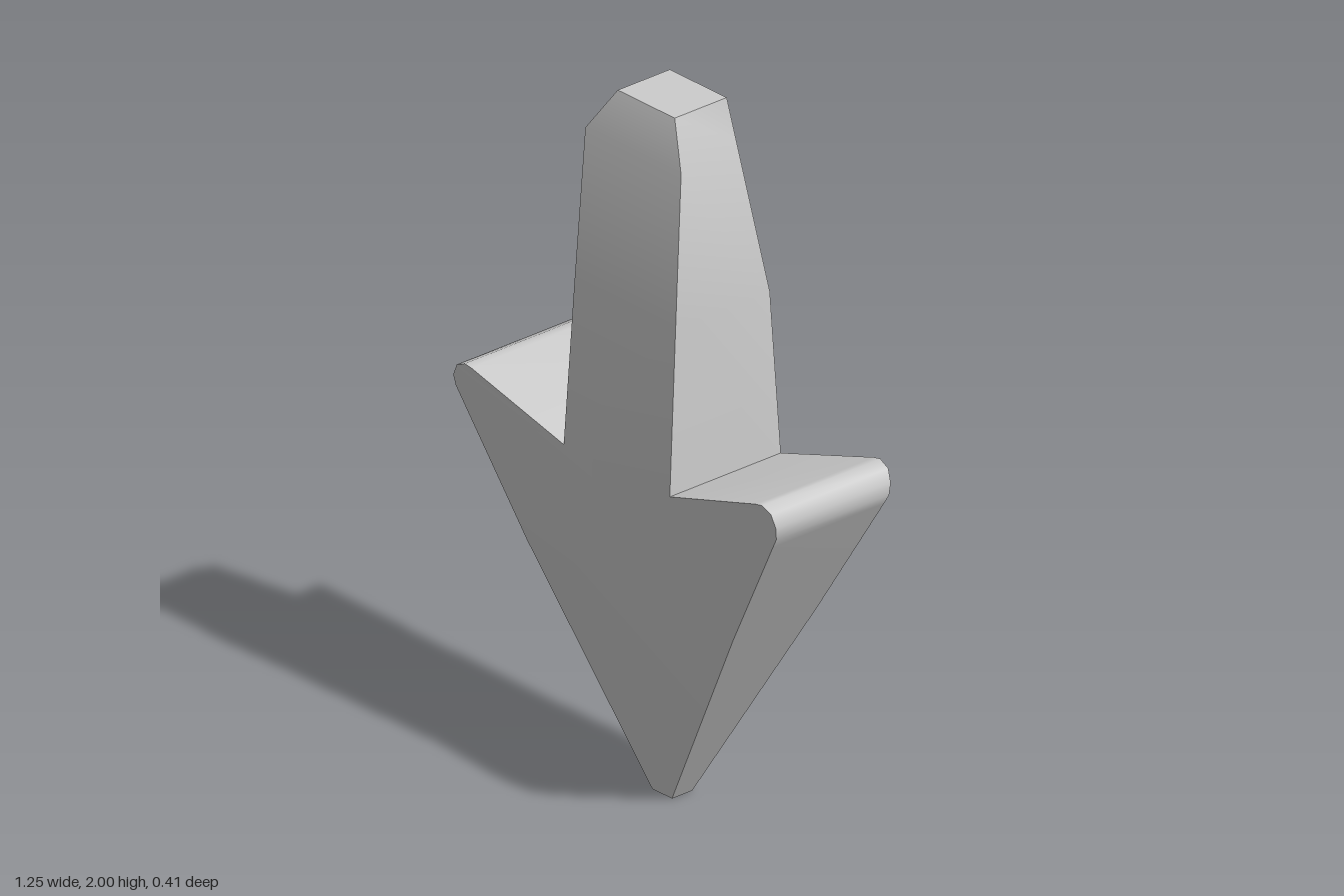
import * as THREE from 'three';
import { toCreasedNormals } from 'three/addons/utils/BufferGeometryUtils.js';

// Outline, counter-clockwise from the point of the arrow: x, y, half thickness
const outline = [
  [0.038, 0, 0.035], [0.396, 0.62, 0.145], [0.603, 0.98, 0.192],
  // left barb with rounded tip
  [0.62, 1.01, 0.195], [0.622, 1.045, 0.199], [0.608, 1.08, 0.203], [0.575, 1.095, 0.205], [0.55, 1.09, 0.205],
  // shaft
  [0.205, 0.98, 0.192], [0.195, 1.45, 0.163], [0.185, 1.88, 0.135], [0.11, 2, 0.09],
  [-0.11, 2, 0.09], [-0.185, 1.88, 0.135], [-0.195, 1.45, 0.163], [-0.205, 0.98, 0.192],
  // right barb with rounded tip
  [-0.55, 1.077, 0.203], [-0.575, 1.08, 0.203], [-0.608, 1.065, 0.201], [-0.624, 1.03, 0.199], [-0.62, 1.0, 0.194],
  [-0.608, 0.98, 0.192], [-0.4, 0.62, 0.145], [-0.038, 0, 0.035],
];

// Polygons of the broad faces, each fanned from its first corner
const panels = [
  [0, 1, 22, 23], [1, 2, 8, 15, 21, 22],          // head
  [8, 2, 3, 4, 5, 6, 7], [15, 16, 17, 18, 19, 20, 21], // barbs
  [15, 8, 9, 14], [14, 9, 13], [13, 9, 10, 11, 12],    // shaft
];

function arrowGeometry() {
  const n = outline.length;
  const front = outline.map(([x, y, z]) => new THREE.Vector3(x, y, z));
  const back = outline.map(([x, y, z]) => new THREE.Vector3(x, y, -z));
  // the rear left shoulder is cut straight from mid shaft to the top
  back[10].lerpVectors(back[9], back[11], 0.78);

  const index = [];
  for (const p of panels) {
    for (let i = 1; i < p.length - 1; i++) {
      index.push(p[0], p[i], p[i + 1]);
      index.push(p[0] + n, p[i + 1] + n, p[i] + n);
    }
  }
  // side walls joining both broad faces
  for (let a = 0; a < n; a++) {
    const b = (a + 1) % n;
    index.push(a, a + n, b, b, a + n, b + n);
  }
  const geometry = new THREE.BufferGeometry().setFromPoints([...front, ...back]);
  geometry.setIndex(index);
  return toCreasedNormals(geometry, 0.8);
}

export function createModel() {
  const group = new THREE.Group();
  group.name = 'arrow';
  const body = new THREE.Mesh(arrowGeometry(), new THREE.MeshStandardMaterial({ color: 0xcccccc }));
  body.name = 'arrowBody';
  group.add(body);
  return group;
}
